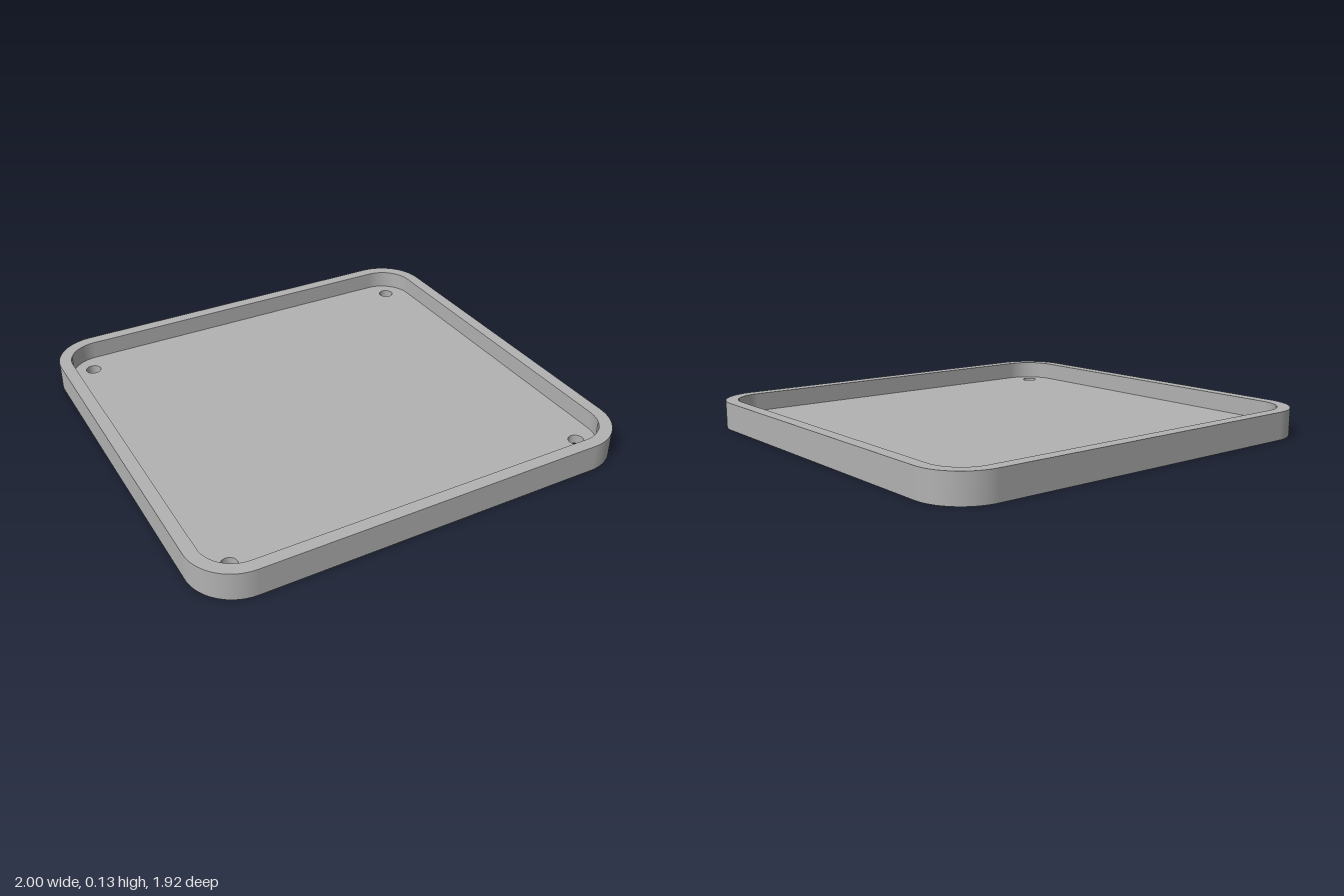
import * as THREE from 'three';
import { mergeGeometries } from 'three/addons/utils/BufferGeometryUtils.js';

const HALF_X = 1, HALF_Z = 0.96, HEIGHT = 0.126, FLOOR = 0.043;
const RIM = 0.057, CORNER = 0.21;
const HOLE_X = 0.836, HOLE_Z = 0.796, HOLE_R = 0.035;
const SEGMENTS = 12;

// Rounded rectangle, inset from the outer edge
function outline(inset) {
  const r = CORNER - inset;
  const cx = HALF_X - CORNER, cz = HALF_Z - CORNER;
  const shape = new THREE.Shape();
  [[1, 1], [-1, 1], [-1, -1], [1, -1]].forEach(([sx, sz], i) => {
    shape.absarc(sx * cx, sz * cz, r, i * Math.PI / 2, (i + 1) * Math.PI / 2, false);
  });
  return shape;
}

function screwHoles() {
  const holes = [];
  for (const sx of [-1, 1]) for (const sz of [-1, 1]) {
    holes.push(new THREE.Shape().absarc(sx * HOLE_X, sz * HOLE_Z, HOLE_R, 0, Math.PI * 2, false));
  }
  return holes;
}

// Flat face at height y, facing up or down
function cap(shape, holes, y, up = true) {
  shape.holes.push(...holes);
  const geometry = new THREE.ShapeGeometry(shape, SEGMENTS);
  geometry.rotateX(up ? -Math.PI / 2 : Math.PI / 2).translate(0, y, 0);
  return geometry.deleteAttribute('uv');
}

// Smooth upright wall along a closed outline, facing outwards or inwards
function wall(shape, y0, y1, outward) {
  const points = shape.getPoints(SEGMENTS);
  if (points[0].distanceTo(points[points.length - 1]) < 1e-6) points.pop();
  const n = points.length, positions = [], index = [];
  points.forEach((p, i) => {
    positions.push(p.x, y0, -p.y, p.x, y1, -p.y);
    const a = 2 * i, b = 2 * ((i + 1) % n);
    if (outward) index.push(a, b, b + 1, a, b + 1, a + 1);
    else index.push(a, b + 1, b, a, a + 1, b + 1);
  });
  const geometry = new THREE.BufferGeometry();
  geometry.setAttribute('position', new THREE.Float32BufferAttribute(positions, 3));
  geometry.setIndex(index);
  geometry.computeVertexNormals();
  return geometry;
}

export function createModel() {
  const grey = new THREE.MeshStandardMaterial({ color: 0xb2b2b2 });
  grey.name = 'grey';
  const group = new THREE.Group();
  group.name = 'trayCover';
  const add = (name, parts) => {
    const mesh = new THREE.Mesh(mergeGeometries(parts), grey);
    mesh.name = name;
    group.add(mesh);
  };

  // Base plate with a screw hole in each corner
  add('basePlate', [
    cap(outline(0), screwHoles(), 0, false),
    cap(outline(RIM), screwHoles(), FLOOR),
    ...screwHoles().map((hole) => wall(hole, 0, FLOOR, false)),
  ]);

  // Raised rim around the edge
  add('rim', [
    wall(outline(0), 0, HEIGHT, true),
    wall(outline(RIM), FLOOR, HEIGHT, false),
    cap(outline(0), [outline(RIM)], HEIGHT),
  ]);

  return group;
}
